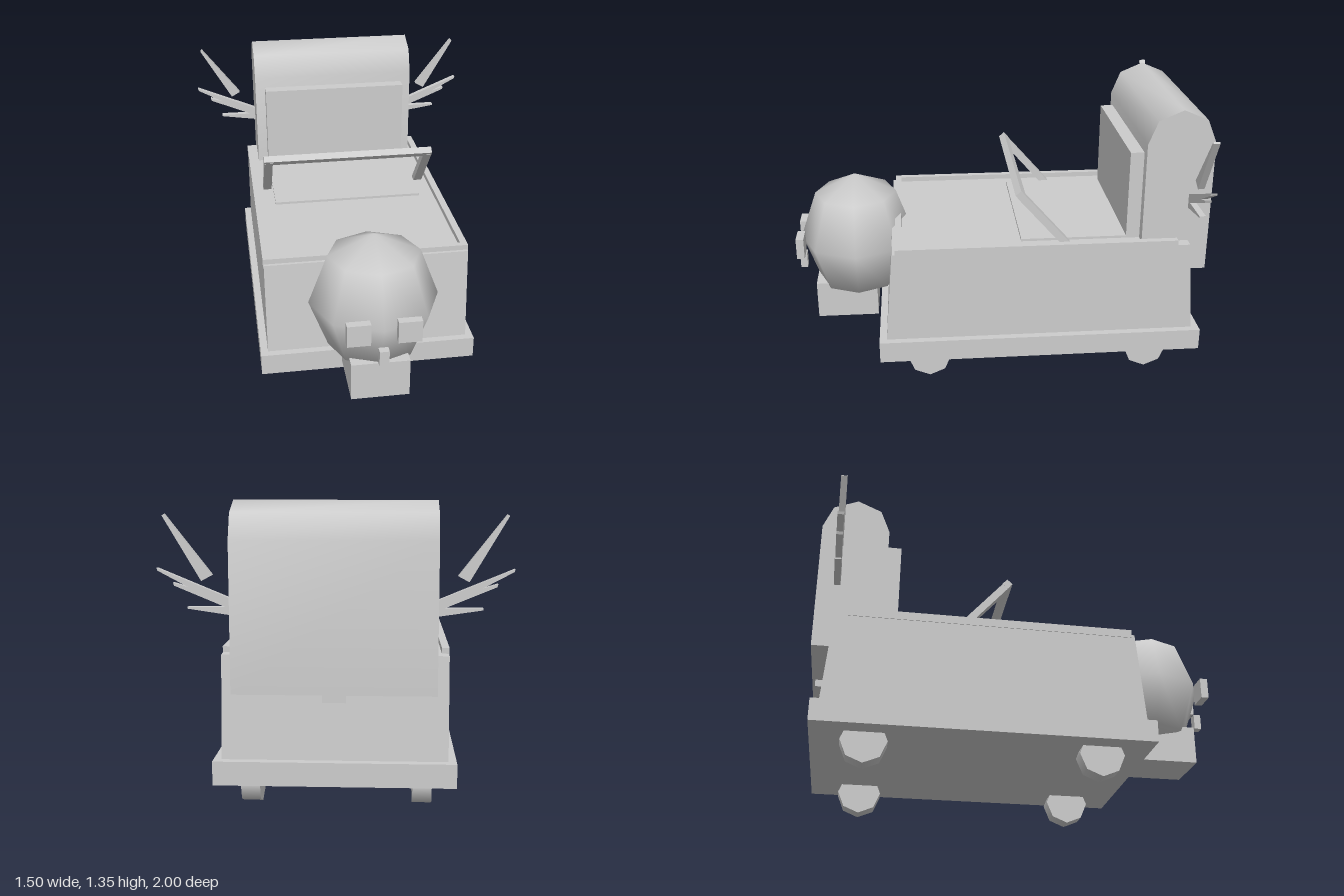
import * as THREE from 'three';
import { toCreasedNormals } from 'three/addons/utils/BufferGeometryUtils.js';

export function createModel() {
  const model = new THREE.Group();
  model.name = 'cart';
  const grey = new THREE.MeshStandardMaterial({ color: 0xcccccc });
  grey.name = 'plain grey';

  const add = (name, geometry) => {
    const mesh = new THREE.Mesh(geometry, grey);
    mesh.name = name;
    model.add(mesh);
    return mesh;
  };
  // Box given by its limits on each axis
  const box = (name, x0, x1, y0, y1, z0, z1) => {
    const mesh = add(name, new THREE.BoxGeometry(x1 - x0, y1 - y0, z1 - z0));
    mesh.position.set((x0 + x1) / 2, (y0 + y1) / 2, (z0 + z1) / 2);
    return mesh;
  };
  // Flat outline extruded about its own plane
  const slab = (points, depth) => {
    const shape = new THREE.Shape(points.map(([a, b]) => new THREE.Vector2(a, b)));
    return new THREE.ExtrudeGeometry(shape, { depth, bevelEnabled: false }).translate(0, 0, -depth / 2);
  };
  // Side profile of [z, y] points, extruded across x
  const across = (points, width) => slab(points, width).rotateY(-Math.PI / 2);

  // Chassis and tapered body
  box('chassis', -0.52, 0.52, 0.145, 0.25, -0.975, 0.595);
  add('body', across([[0.56, 0.25], [0.52, 0.7], [-0.9, 0.7], [-0.937, 0.25]], 0.97));
  box('frontRail', -0.486, 0.486, 0.69, 0.725, 0.475, 0.505);
  box('deckPlate', -0.38, 0.38, 0.695, 0.712, -0.64, -0.1);

  // Rear chest with a rounded top
  const chest = across([
    [-0.675, 0.547], [-0.675, 1.19], [-0.72, 1.303], [-0.835, 1.352],
    [-0.95, 1.303], [-0.997, 1.19], [-0.997, 0.547],
  ], 0.864);
  add('chest', toCreasedNormals(chest, 1.0));
  box('backrest', -0.38, 0.38, 0.7, 1.135, -0.68, -0.61);
  box('chestLatch', -0.05, 0.05, 0.512, 0.55, -0.982, -0.945);

  // Leaning handle frame
  const lean = 0.72;
  const bar = add('handleBar', new THREE.BoxGeometry(0.864, 0.035, 0.035));
  bar.position.set(0, 0.956, -0.09);
  bar.rotation.x = lean;

  // Head, jaw and nose
  const head = add('head', new THREE.SphereGeometry(0.3, 8, 4));
  head.scale.set(1, 1.1, 0.95);
  head.position.set(0, 0.6, 0.7);
  box('jaw', -0.135, 0.135, 0.2, 0.387, 0.61, 0.915);
  box('nose', -0.022, 0.022, 0.43, 0.507, 0.965, 1.0);

  // Twig spikes in outline, reaching out from the chest sides
  const spikes = [
    [[0.56, 1.015], [0.514, 1.04], [0.712, 1.295], [0.72, 1.288]],
    [[0.41, 0.93], [0.748, 1.07], [0.744, 1.058], [0.41, 0.88]],
    [[0.41, 0.93], [0.68, 1.008], [0.675, 0.995], [0.41, 0.885]],
    [[0.41, 0.905], [0.62, 0.906], [0.62, 0.898], [0.41, 0.867]],
  ];

  for (const s of [1, -1]) {
    const side = s > 0 ? 'left' : 'right';
    const mirrored = (name, x0, x1, ...rest) =>
      box(name, Math.min(s * x0, s * x1), Math.max(s * x0, s * x1), ...rest);

    mirrored(side + 'Rail', 0.455, 0.488, 0.685, 0.725, -0.84, 0.505);
    mirrored(side + 'Eye', 0.06, 0.166, 0.545, 0.65, 0.96, 0.998);

    const post = add(side + 'HandlePost', new THREE.BoxGeometry(0.043, 0.35, 0.035));
    post.position.set(s * 0.41, 0.825, -0.203);
    post.rotation.x = lean;

    spikes.forEach((points) => {
      const spike = add(side + 'Spike', slab(points.map(([x, y]) => [s * x, y]), 0.03));
      spike.position.z = -0.903;
    });

    // Eight-sided wheels
    for (const z of [0.355, -0.73]) {
      const geometry = new THREE.CylinderGeometry(0.106, 0.106, 0.085, 8).rotateZ(Math.PI / 2);
      const wheel = add(side + (z > 0 ? 'FrontWheel' : 'RearWheel'), geometry);
      wheel.position.set(s * 0.378, 0.106, z);
    }
  }
  return model;
}
